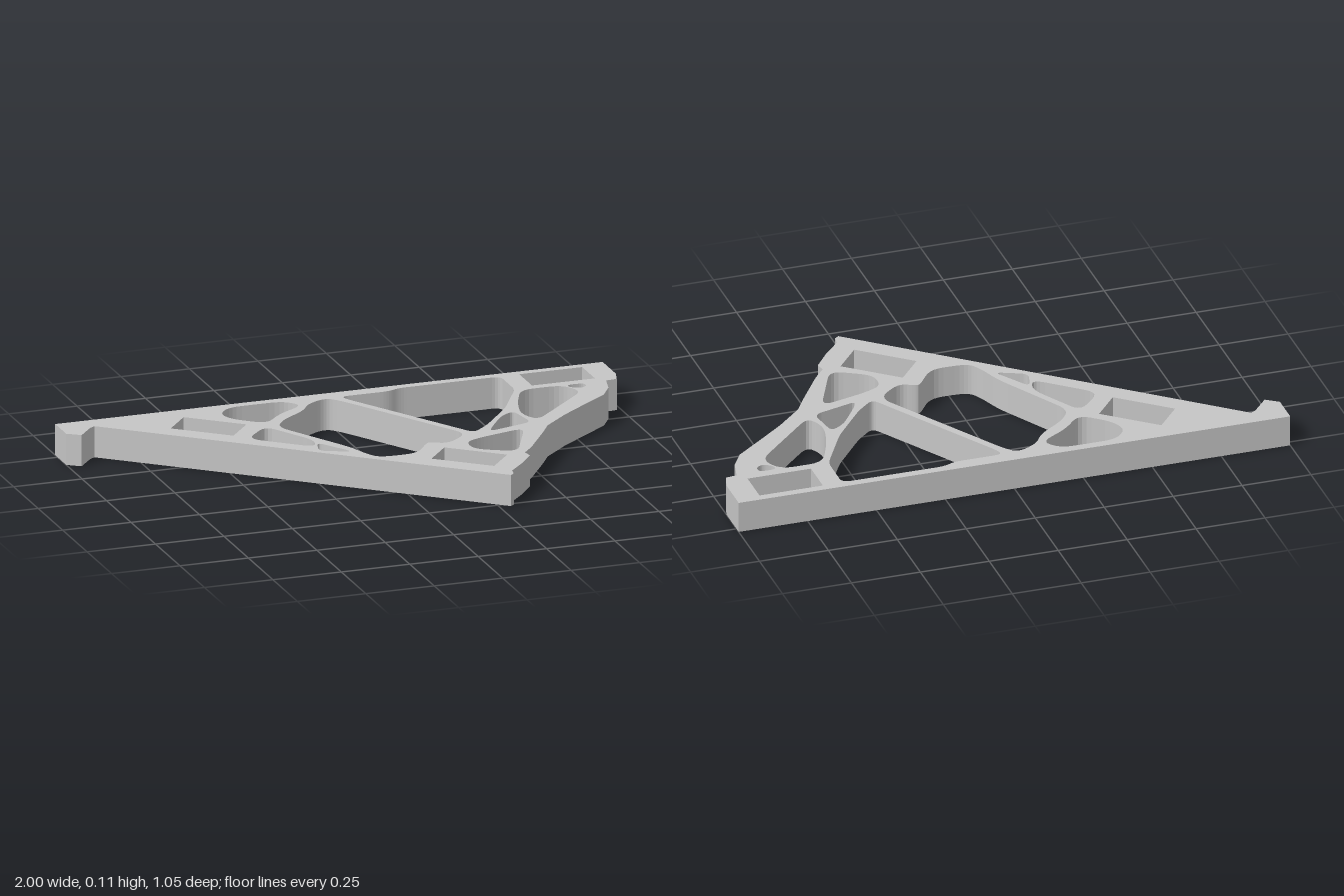
import * as THREE from 'three';

const HEIGHT = 0.113;

// Closed path through points (x, -z); corners are rounded by up to r
function trace(path, v, r = 0) {
  v.forEach((p, i) => {
    const toward = (q) => p.clone().lerp(q, Math.min(0.45, r / p.distanceTo(q)));
    const a = toward(v[(i + v.length - 1) % v.length]);
    const b = toward(v[(i + 1) % v.length]);
    if (i === 0) path.moveTo(a.x, a.y);
    else path.lineTo(a.x, a.y);
    if (r > 0) path.quadraticCurveTo(p.x, p.y, b.x, b.y);
  });
  path.closePath();
  return path;
}

// Plan points from [x, z] pairs
const plan = (...pairs) => pairs.map(([x, z]) => new THREE.Vector2(x, -z));

export function createModel() {
  const grey = new THREE.MeshStandardMaterial({ color: 0xc6c6c6 });
  grey.name = 'plain grey';

  // Triangular outline, counter-clockwise: hook at the tip, straight diagonal, stepped right edge
  const outline = trace(new THREE.Shape(), plan(
    [-1, -0.524], [-1, -0.412], [-0.955, -0.38], [-0.9, -0.445], [-0.88, -0.456],
    [0.29, 0.524], [0.305, 0.512], [0.31, 0.48], [0.37, 0.415], [0.423, 0.345], [0.418, 0.31],
    [0.46, 0.26], [0.55, 0.125], [0.59, 0.06], [0.685, -0.03], [0.78, -0.107], [0.885, -0.19],
    [0.925, -0.255], [0.943, -0.33], [0.984, -0.335], [1, -0.39], [1, -0.524],
  ));

  // Rectangular sockets, two of them turned along the diagonal edge
  const addSocket = (x, z, angle) => {
    const centre = new THREE.Vector2(x, -z);
    const corners = plan([-0.115, -0.065], [0.115, -0.065], [0.115, 0.065], [-0.115, 0.065]);
    corners.forEach((c) => c.rotateAround(new THREE.Vector2(), -angle).add(centre));
    outline.holes.push(trace(new THREE.Path(), corners));
  };
  addSocket(0.8, -0.43, 0);
  addSocket(-0.512, -0.322, 0.692);
  addSocket(0.222, 0.289, 0.692);

  // Rounded openings that leave organic struts between them
  const addOpening = (radius, ...pairs) => {
    outline.holes.push(trace(new THREE.Path(), plan(...pairs), radius));
  };
  // small hole beside the right socket
  addOpening(0.025, [0.8, -0.33], [0.86, -0.33], [0.862, -0.3], [0.835, -0.283], [0.8, -0.305]);
  // back left pocket
  addOpening(0.05, [-0.43, -0.435], [-0.38, -0.492], [-0.18, -0.492], [-0.13, -0.43],
    [-0.24, -0.365], [-0.31, -0.285], [-0.41, -0.37]);
  // pockets along the diagonal edge
  addOpening(0.05, [-0.43, -0.15], [-0.33, -0.255], [-0.22, -0.06], [-0.24, 0.01]);
  addOpening(0.03, [-0.245, 0.055], [-0.22, -0.03], [-0.135, 0.103]);
  // large left opening
  addOpening(0.05, [-0.29, -0.235], [-0.25, -0.3], [-0.145, -0.375], [-0.11, -0.435],
    [-0.03, -0.475], [0.01, -0.43], [0.298, 0.05], [0.205, 0.128], [0.145, 0.095],
    [0.13, 0.105], [0.068, 0.193], [-0.07, 0.19], [-0.1, 0.14], [-0.13, 0.05]);
  // large right opening
  addOpening(0.03, [0.03, -0.473], [0.2, -0.473], [0.245, -0.493], [0.615, -0.493],
    [0.615, -0.345], [0.515, -0.165], [0.395, -0.015], [0.327, 0.045], [0.033, -0.445]);
  // pockets inside the right edge
  addOpening(0.05, [0.63, -0.333], [0.785, -0.333], [0.825, -0.25], [0.58, -0.01],
    [0.545, -0.09], [0.573, -0.2]);
  addOpening(0.03, [0.53, -0.125], [0.55, 0.005], [0.38, 0.052], [0.415, -0.005],
    [0.475, -0.09]);
  addOpening(0.05, [0.265, 0.135], [0.33, 0.105], [0.505, 0.06], [0.4, 0.29], [0.265, 0.215]);

  // Extrude the plan upwards into a flat plate
  const geometry = new THREE.ExtrudeGeometry(outline, {
    depth: HEIGHT, bevelEnabled: false, curveSegments: 5,
  });
  geometry.rotateX(-Math.PI / 2);
  const frame = new THREE.Mesh(geometry, grey);
  frame.name = 'bracketFrame';

  const model = new THREE.Group();
  model.name = 'triangularBracket';
  model.add(frame);
  return model;
}
